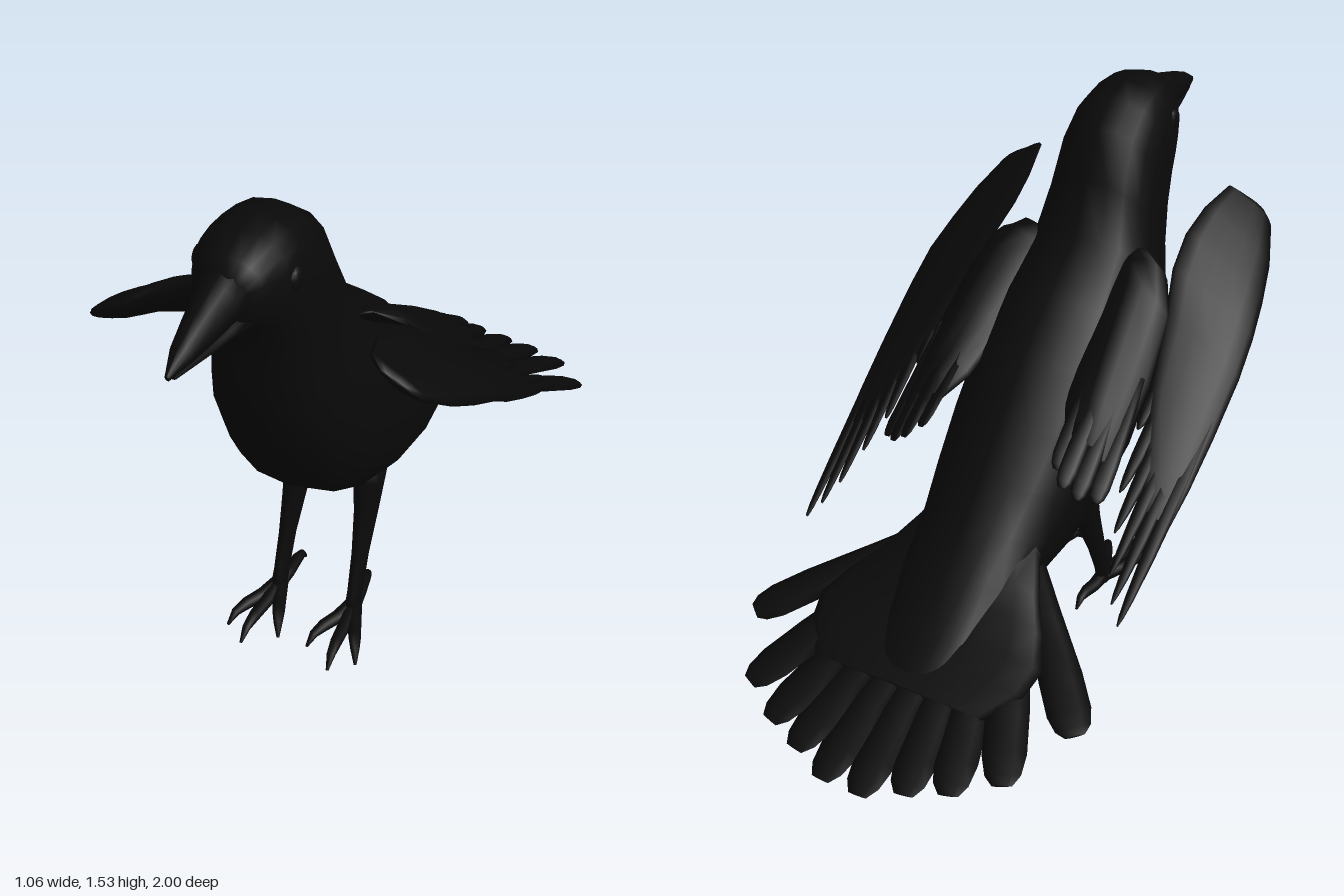
import * as THREE from 'three';

const V = (x, y, z) => new THREE.Vector3(x, y, z);

// Closed skin over a list of rings; winding is fixed by the signed volume
function loft(rings) {
  const n = rings[0].length, pts = rings.flat(), idx = [];
  for (let i = 0; i < rings.length - 1; i++)
    for (let j = 0; j < n; j++) {
      const a = i * n + j, b = i * n + (j + 1) % n;
      idx.push(a, b, a + n, b, b + n, a + n);
    }
  [[0, true], [rings.length - 1, false]].forEach(([r, first]) => {
    const c = new THREE.Vector3();
    rings[r].forEach(p => c.addScaledVector(p, 1 / n));
    pts.push(c);
    for (let j = 0; j < n; j++) {
      const a = r * n + j, b = r * n + (j + 1) % n, k = pts.length - 1;
      idx.push(...(first ? [k, b, a] : [k, a, b]));
    }
  });
  let vol = 0;
  const cr = new THREE.Vector3();
  for (let i = 0; i < idx.length; i += 3)
    vol += cr.crossVectors(pts[idx[i]], pts[idx[i + 1]]).dot(pts[idx[i + 2]]);
  if (vol < 0) idx.reverse();
  const g = new THREE.BufferGeometry().setFromPoints(pts);
  g.setIndex(idx);
  g.computeVertexNormals();
  return g;
}

// Elliptical section swept along points with a width and height at each
function sweep(points, widths, heights, up = V(0, 1, 0), sides = 8) {
  return loft(points.map((p, i) => {
    const t = points[Math.min(i + 1, points.length - 1)].clone()
      .sub(points[Math.max(i - 1, 0)]).normalize();
    const side = up.clone().cross(t).normalize(), u = t.clone().cross(side);
    return Array.from({ length: sides }, (_, j) => {
      const a = j / sides * Math.PI * 2;
      return p.clone().addScaledVector(side, Math.cos(a) * widths[i])
        .addScaledVector(u, Math.sin(a) * heights[i]);
    });
  }));
}

// Flat feather with a rounded or a pointed tip
function feather(base, tip, w, up, pointed) {
  const at = [0, 0.35, 0.7, 0.88, 0.96, 1];
  const prof = pointed ? [0.9, 1, 0.75, 0.5, 0.3, 0.1] : [0.55, 0.75, 1, 1, 0.8, 0.45];
  return sweep(at.map(t => base.clone().lerp(tip, t)), prof.map(k => k * w),
    [0.014, 0.014, 0.011, 0.009, 0.007, 0.004], up, 6);
}

// Height of the sloping wing: raised towards the body, drooping at the front
const wingY = (x, z) => 0.8 + 0.71 * z + 0.5 * (0.45 - Math.max(x, 0.25))
  + 0.4 * Math.max(0, 0.35 - Math.max(x, 0.25))
  - 0.4 * Math.max(0, 0.2 - x) - 0.2 * Math.max(0, z - 0.3);

// Cushioned wing surface from rows of [z, inner x, outer x, half thickness]
function wingPad(s, rows) {
  return loft(rows.map(([z, x0, x1, th]) => Array.from({ length: 14 }, (_, j) => {
    const a = j / 14 * Math.PI * 2;
    const x = (x0 + x1) / 2 + Math.cos(a) * (x1 - x0) / 2;
    return V(s * x, wingY(x, z) + Math.sin(a) * th, z);
  })));
}

export function createModel() {
  const model = new THREE.Group();
  model.name = 'bird';
  const black = new THREE.MeshStandardMaterial({ color: 0x090909 });
  black.name = 'black plumage';
  const add = (name, geo, parent = model) => {
    const m = new THREE.Mesh(geo, black);
    m.name = name;
    parent.add(m);
    return m;
  };
  const group = name => {
    const g = new THREE.Group();
    g.name = name;
    model.add(g);
    return g;
  };

  // Head and body: [top z, top y, bottom z, bottom y, half width]
  const body = [
    [0.74, 1.49, 0.73, 1.35, 0.055], [0.70, 1.515, 0.70, 1.325, 0.09],
    [0.62, 1.54, 0.665, 1.28, 0.122], [0.54, 1.54, 0.645, 1.23, 0.135],
    [0.45, 1.52, 0.63, 1.17, 0.144], [0.37, 1.46, 0.615, 1.08, 0.152],
    [0.31, 1.33, 0.595, 0.98, 0.165], [0.25, 1.18, 0.56, 0.87, 0.195],
    [0.10, 1.07, 0.50, 0.74, 0.224], [-0.05, 0.94, 0.44, 0.63, 0.235],
    [-0.17, 0.81, 0.33, 0.525, 0.235], [-0.28, 0.69, 0.17, 0.445, 0.22],
    [-0.37, 0.59, 0, 0.385, 0.20], [-0.47, 0.50, -0.25, 0.38, 0.18],
    [-0.60, 0.385, -0.50, 0.35, 0.14], [-0.70, 0.315, -0.66, 0.298, 0.1],
  ];
  const soft = v => Math.sign(v) * Math.abs(v) ** 0.85;
  add('body', loft(body.map(([tz, ty, bz, by, w]) =>
    Array.from({ length: 20 }, (_, j) => {
      const a = j / 20 * Math.PI * 2, k = (1 + soft(Math.cos(a))) / 2;
      return V(soft(Math.sin(a)) * w, by + (ty - by) * k, bz + (tz - bz) * k);
    }))));

  // Beak
  add('upperBeak', sweep(
    [V(0, 1.43, 0.68), V(0, 1.425, 0.76), V(0, 1.415, 0.85), V(0, 1.405, 0.93), V(0, 1.39, 0.995)],
    [0.08, 0.056, 0.042, 0.028, 0.006], [0.075, 0.062, 0.046, 0.028, 0.009], undefined, 12));
  add('lowerBeak', sweep(
    [V(0, 1.352, 0.68), V(0, 1.355, 0.76), V(0, 1.364, 0.86), V(0, 1.374, 0.97)],
    [0.07, 0.045, 0.03, 0.008], [0.034, 0.018, 0.012, 0.005], undefined, 10));

  // Tail fan, five feathers on each side
  const tail = group('tail');
  const tips = [[0.057, -0.998], [0.168, -0.955], [0.275, -0.915], [0.39, -0.845], [0.5, -0.668]];
  for (const s of [1, -1])
    tips.forEach(([x, z], i) => add('tailFeather', feather(
      V(s * (0.015 + 0.03 * i), 0.475, -0.25),
      V(s * x, 0.18 + (z + 1) * 0.4, z), 0.058, V(0, 1, -0.3), false), tail));

  // Covert feathers joining the rump to the fan: [z, y, half width, half thickness]
  add('tailCoverts', loft([
    [-0.18, 0.55, 0.17, 0.1], [-0.3, 0.495, 0.195, 0.09], [-0.4, 0.45, 0.25, 0.06],
    [-0.48, 0.41, 0.305, 0.04], [-0.56, 0.37, 0.345, 0.025], [-0.63, 0.335, 0.33, 0.018],
    [-0.72, 0.298, 0.26, 0.01],
  ].map(([z, y, w, h]) => Array.from({ length: 16 }, (_, j) => {
    const a = j / 16 * Math.PI * 2;
    return V(Math.cos(a) * w, y + Math.sin(a) * h, z);
  }))), tail);

  for (const s of [1, -1]) {
    const side = s > 0 ? 'left' : 'right';

    // Eye
    const eye = add(side + 'Eye', new THREE.SphereGeometry(0.032, 14, 10));
    eye.scale.x = 0.5;
    eye.position.set(s * 0.12, 1.425, 0.6);

    // Wing: inner and outer surfaces with their feathers
    const wing = group(side + 'Wing');
    add('innerWing', wingPad(s, [
      [0.32, 0.1, 0.2, 0.01], [0.27, 0.09, 0.275, 0.025], [0.2, 0.1, 0.32, 0.032],
      [0.05, 0.12, 0.335, 0.03], [-0.08, 0.15, 0.335, 0.024], [-0.16, 0.19, 0.325, 0.012]]), wing);
    add('outerWing', wingPad(s, [
      [0.62, 0.335, 0.41, 0.012], [0.6, 0.3, 0.438, 0.026], [0.5, 0.275, 0.48, 0.042],
      [0.4, 0.265, 0.505, 0.046], [0.3, 0.275, 0.523, 0.042], [0.2, 0.305, 0.53, 0.038],
      [0.05, 0.335, 0.528, 0.03], [-0.08, 0.385, 0.522, 0.02], [-0.18, 0.43, 0.512, 0.01]]), wing);
    const up = V(s * 0.4, 0.75, -0.5);
    const quill = (x0, z0, x1, z1, w, pointed) => feather(
      V(s * x0, wingY(x0, z0), z0), V(s * x1, wingY(x1, z1), z1), w, up, pointed);
    [[0.488, -0.42], [0.455, -0.39], [0.425, -0.34], [0.395, -0.26], [0.368, -0.18], [0.347, -0.04]]
      .forEach(([x, z], i) =>
        add('flightFeather', quill(0.5 - 0.028 * i, 0.12, x, z, 0.024, true), wing));
    [[0.325, -0.24], [0.285, -0.27], [0.245, -0.275], [0.212, -0.24]].forEach(([x, z], i) =>
      add('innerFeather', quill(0.31 - 0.04 * i, 0.05, x, z, 0.026, false), wing));

    // Leg and foot
    const leg = group(side + 'Leg');
    add('shank', sweep(
      [V(s * 0.108, 0.5, 0.09), V(s * 0.108, 0.42, 0.113), V(s * 0.112, 0.32, 0.147),
        V(s * 0.115, 0.2, 0.197), V(s * 0.117, 0.09, 0.24), V(s * 0.118, 0.035, 0.26)],
      [0.05, 0.045, 0.034, 0.024, 0.021, 0.022], [0.068, 0.056, 0.045, 0.034, 0.032, 0.04],
      V(0, 0, 1), 10), leg);
    [[0.2, 0.44], [0.135, 0.49], [0.045, 0.43], [0.105, 0.095]].forEach(([x, z], i) => {
      const at = (t, y) => V(s * (0.118 + (x - 0.118) * t), y, 0.25 + (z - 0.25) * t);
      const w = [0.024, 0.02, 0.018, 0.013, 0.004];
      add(i < 3 ? 'frontToe' : 'backToe', sweep(
        [at(0, 0.045), at(0.35, 0.038), at(0.65, 0.045), at(0.85, 0.04), at(1, 0.01)], w, w), leg);
    });
  }
  return model;
}
